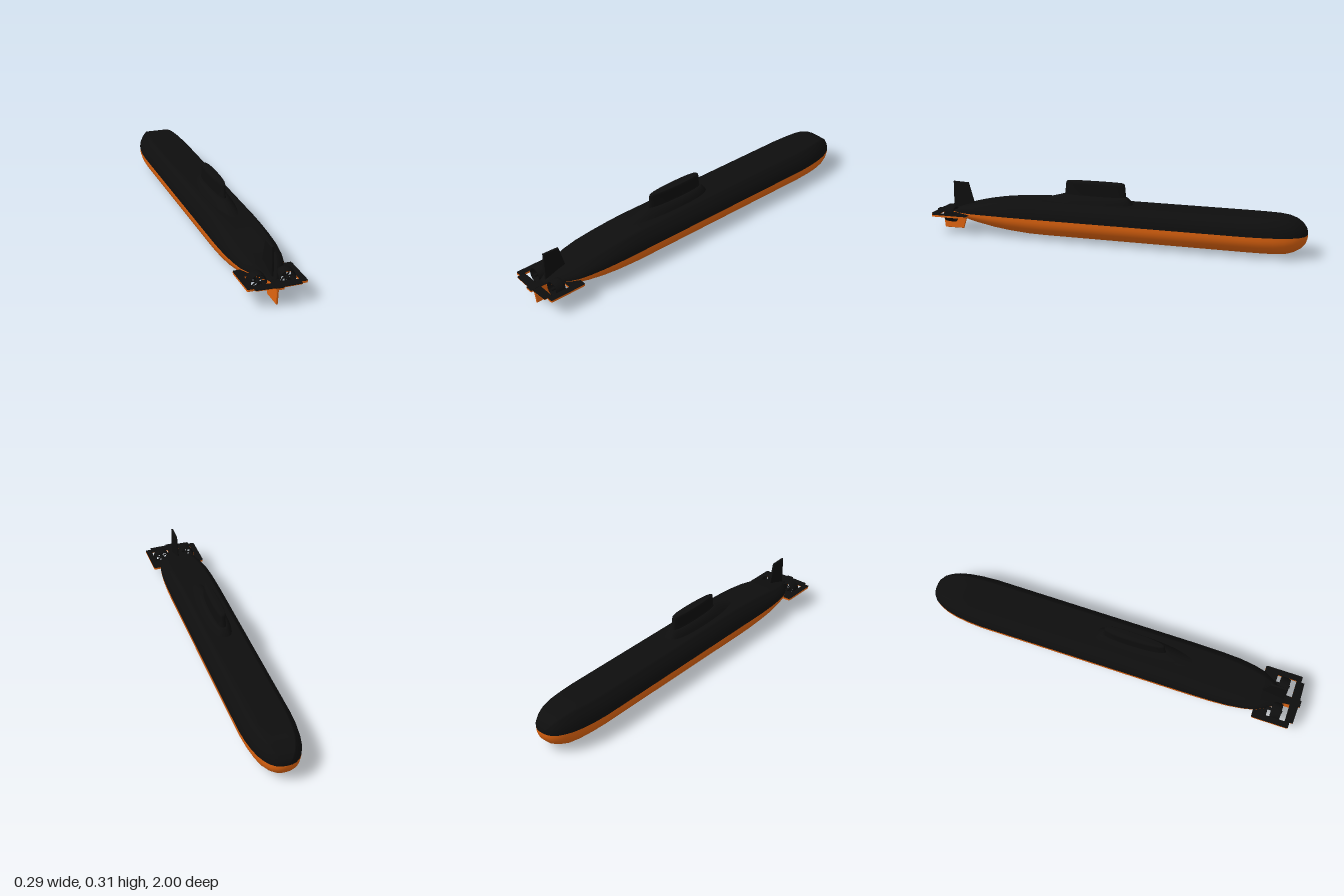
import * as THREE from 'three';

const black = new THREE.MeshStandardMaterial({ color: 0x0e0e0e });
black.name = 'black';
const orange = new THREE.MeshStandardMaterial({ color: 0xe0640f });
orange.name = 'orange';

// Skin a list of equally long rings of [x, y, z] points
function loft(rings) {
  const n = rings[0].length, index = [];
  for (let i = 0; i < rings.length - 1; i++) {
    for (let j = 0; j < n - 1; j++) {
      const a = i * n + j, b = a + 1, c = a + n, d = c + 1;
      index.push(a, b, c, b, d, c);
    }
  }
  const geo = new THREE.BufferGeometry();
  geo.setAttribute('position', new THREE.Float32BufferAttribute(rings.flat(2), 3));
  geo.setIndex(index);
  geo.computeVertexNormals();
  return geo;
}

function add(parent, name, geo, mat) {
  const mesh = new THREE.Mesh(geo, mat);
  mesh.name = name;
  parent.add(mesh);
  return mesh;
}

const polygon = pts => new THREE.Shape(pts.map(p => new THREE.Vector2(...p)));

// Upright plate from [z, y] points, centred on x = 0
function uprightPlate(pts, t) {
  const geo = new THREE.ExtrudeGeometry(polygon(pts), {
    depth: t, bevelEnabled: true, bevelThickness: 0.002, bevelSize: 0.002, bevelSegments: 1 });
  return geo.translate(0, 0, -t / 2).rotateY(-Math.PI / 2);
}

// Level plate from [x, z] points, hanging below height top
function levelPlate(pts, top, t) {
  const geo = new THREE.ExtrudeGeometry(polygon(pts), { depth: t, bevelEnabled: false });
  return geo.rotateX(Math.PI / 2).translate(0, top, 0);
}

// Hull stations: z, half width, deck height, keel height, waterline height
const STATIONS = [
  [-1, 0.001, 0.116, 0.114, 0.115], [-0.998, 0.026, 0.132, 0.092, 0.115],
  [-0.99, 0.047, 0.148, 0.07, 0.115], [-0.97, 0.072, 0.168, 0.047, 0.115],
  [-0.94, 0.091, 0.185, 0.029, 0.115], [-0.9, 0.108, 0.196, 0.016, 0.115],
  [-0.85, 0.12, 0.2, 0.011, 0.115], [-0.78, 0.13, 0.2, 0.01, 0.115],
  [-0.7, 0.135, 0.2, 0.01, 0.115], [0, 0.135, 0.2, 0.01, 0.115],
  [0.36, 0.135, 0.2, 0.01, 0.115], [0.45, 0.135, 0.196, 0.012, 0.115],
  [0.55, 0.134, 0.188, 0.02, 0.115], [0.64, 0.13, 0.177, 0.032, 0.115],
  [0.72, 0.12, 0.163, 0.047, 0.113], [0.78, 0.106, 0.15, 0.06, 0.11],
  [0.83, 0.08, 0.137, 0.071, 0.106], [0.88, 0.045, 0.12, 0.082, 0.102],
  [0.92, 0.02, 0.108, 0.09, 0.1], [0.921, 0.001, 0.1, 0.098, 0.099]];

// Upper half section: rounded flank up to a flat deck
const FLANK = [[1, 0], [0.985, 0.2], [0.94, 0.42], [0.87, 0.62], [0.77, 0.8],
  [0.69, 0.93], [0.64, 0.99], [0.6, 1], [0.3, 1], [0, 1]];
const UPPER = [...FLANK, ...FLANK.slice(0, -1).reverse().map(([u, v]) => [-u, v])];

// Lower half section: a slightly squared half ellipse
const LOWER = Array.from({ length: 25 }, (_, i) => {
  const a = Math.PI * i / 24, c = Math.cos(a);
  return [-Math.sign(c) * Math.abs(c) ** 0.9, Math.sin(a) ** 0.9];
});

// Plan outlines stacked upwards: y, half width, front z, back z
function tower(levels) {
  const rings = levels.map(([y, w, front, back]) =>
    Array.from({ length: 49 }, (_, i) => {
      const a = Math.PI * 2 * i / 48, c = Math.cos(a), s = Math.sin(a);
      const mid = front + (back - front) * 0.4;
      const reach = s > 0 ? mid - front : back - mid;
      const power = s > 0 ? 0.65 : 0.9;
      return [w * Math.sign(c) * Math.abs(c) ** power, y,
        mid - reach * Math.sign(s) * Math.abs(s) ** 0.9];
    }));
  const [y, , front, back] = levels[levels.length - 1];
  const mid = front + (back - front) * 0.4;
  rings.push(rings[0].map(() => [0, y, mid]));
  return loft(rings);
}

// Ducted propeller with swept blades
function propulsor() {
  const group = new THREE.Group();
  const profile = [[0.036, -0.025], [0.042, -0.025], [0.043, -0.01], [0.04, 0.025],
    [0.036, 0.025], [0.036, -0.025]].map(p => new THREE.Vector2(...p));
  add(group, 'duct', new THREE.LatheGeometry(profile, 40).rotateX(Math.PI / 2), black);
  add(group, 'shaft', new THREE.CylinderGeometry(0.007, 0.009, 0.1, 16)
    .rotateX(Math.PI / 2).translate(0, 0, -0.02), black);
  const blade = new THREE.Shape();
  blade.moveTo(0.004, -0.003);
  blade.quadraticCurveTo(0.024, -0.008, 0.034, 0.012);
  blade.quadraticCurveTo(0.02, 0.004, 0.004, 0.004);
  const geo = new THREE.ExtrudeGeometry(blade, { depth: 0.003, bevelEnabled: false, curveSegments: 8 });
  geo.rotateX(0.35);
  for (let i = 0; i < 7; i++) {
    add(group, 'propellerBlade', geo, black).rotation.z = i * Math.PI * 2 / 7;
  }
  return group;
}

export function createModel() {
  const model = new THREE.Group();
  model.name = 'submarine';

  // Hull halves meeting at the waterline
  add(model, 'upperHull', loft(STATIONS.map(([z, w, top, , mid]) =>
    UPPER.map(([u, v]) => [u * w, mid + v * (top - mid), z]))), black);
  add(model, 'lowerHull', loft(STATIONS.map(([z, w, , keel, mid]) =>
    LOWER.map(([u, v]) => [u * w, mid - v * (mid - keel), z]))), orange);

  // Sail and its stepped fairing
  add(model, 'sailFairing', tower([
    [0.196, 0.062, -0.105, 0.42], [0.203, 0.058, -0.1, 0.39], [0.212, 0.054, -0.095, 0.36],
    [0.222, 0.047, -0.087, 0.325], [0.23, 0.038, -0.08, 0.295], [0.236, 0.026, -0.073, 0.275]]), black);
  add(model, 'sail', tower([
    [0.225, 0.029, -0.07, 0.275], [0.24, 0.025, -0.065, 0.266], [0.295, 0.0245, -0.06, 0.26],
    [0.304, 0.0235, -0.057, 0.257], [0.308, 0.02, -0.05, 0.25]]), black);

  // Rudders
  add(model, 'upperRudder', uprightPlate(
    [[0.77, 0.12], [0.903, 0.1], [0.903, 0.258], [0.82, 0.255], [0.79, 0.15]], 0.007), black);
  add(model, 'lowerRudder', uprightPlate(
    [[0.83, 0.085], [0.855, 0.004], [0.96, 0.003], [0.97, 0.085]], 0.006), orange);

  // Tail boom, dark above and bright below
  const boom = [[-0.025, 0.85], [0.025, 0.85], [0.018, 0.998], [-0.018, 0.998]];
  add(model, 'tailBoomTop', levelPlate(boom, 0.104, 0.004), black);
  add(model, 'tailBoomBottom', levelPlate(boom, 0.1, 0.009), orange);

  for (const side of [1, -1]) {
    const half = new THREE.Group();
    half.name = side > 0 ? 'leftTail' : 'rightTail';
    half.scale.x = side;
    // Stabilizer with an outer arm carrying the elevator
    const fin = [[0.04, 0.775], [0.142, 0.775], [0.145, 0.785], [0.145, 0.965],
      [0.142, 0.97], [0.114, 0.97], [0.114, 0.845], [0.04, 0.845]];
    add(half, 'stabilizerTop', levelPlate(fin, 0.103, 0.002), black);
    add(half, 'stabilizerBottom', levelPlate(fin, 0.101, 0.01), orange);
    const flap = [[0.015, 0.945], [0.114, 0.945], [0.112, 0.987], [0.015, 0.99]];
    add(half, 'elevatorTop', levelPlate(flap, 0.103, 0.004), black);
    add(half, 'elevatorBottom', levelPlate(flap, 0.099, 0.003), orange);
    const drive = propulsor();
    drive.name = 'propulsor';
    drive.position.set(0.071, 0.097, 0.89);
    half.add(drive);
    model.add(half);
  }
  return model;
}
